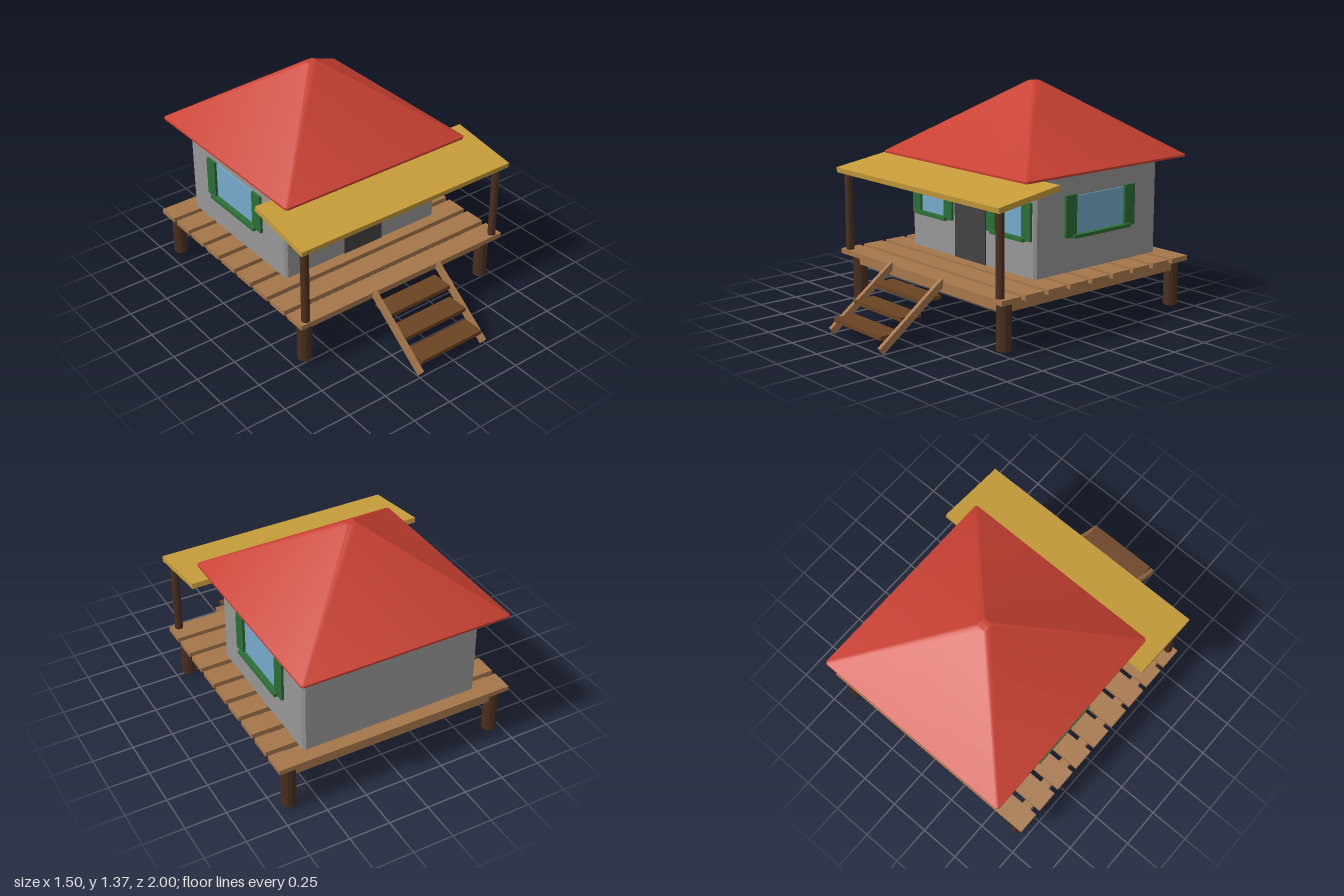
import * as THREE from 'three';
import { toCreasedNormals } from 'three/addons/utils/BufferGeometryUtils.js';

const mat = (name, color, extra = {}) => {
  const m = new THREE.MeshStandardMaterial({ color, ...extra });
  m.name = name;
  return m;
};

// Closed body from chamfered rectangles: each ring is [halfX, halfZ, chamfer, y]
function loft(rings) {
  const pos = [], idx = [], n = 8;
  for (const [a, b, c, y] of rings) {
    const corners = [[a, c - b], [a, b - c], [a - c, b], [c - a, b], [-a, b - c], [-a, c - b], [c - a, -b], [a - c, -b]];
    for (const [x, w] of corners) pos.push(x, y, -w);
  }
  const top = (rings.length - 1) * n;
  for (let r = 0; r < top; r += n) {
    for (let i = 0; i < n; i++) {
      const j = (i + 1) % n;
      idx.push(r + i, r + j, r + n + j, r + i, r + n + j, r + n + i);
    }
  }
  for (let i = 1; i < n - 1; i++) {
    idx.push(top, top + i, top + i + 1);
    idx.push(0, i + 1, i);
  }
  const g = new THREE.BufferGeometry();
  g.setAttribute('position', new THREE.Float32BufferAttribute(pos, 3));
  g.setIndex(idx);
  return toCreasedNormals(g, 0.6);
}

export function createModel() {
  const plankWood = mat('plank wood', 0xa6774b);
  const stepWood = mat('step wood', 0x6b4423);
  const postWood = mat('post wood', 0x4a2e1f, { flatShading: true });
  const wall = mat('wall grey', 0x979797);
  const red = mat('roof red', 0xc84032);
  const yellow = mat('porch yellow', 0xc79d3a);
  const green = mat('shutter green', 0x2d6e36);
  const glass = mat('window blue', 0x76aacc);
  const doorGrey = mat('door grey', 0x424242);

  const model = new THREE.Group();
  model.name = 'stiltHut';

  const add = (parent, name, geometry, material, x, y, z) => {
    const m = new THREE.Mesh(geometry, material);
    m.name = name;
    m.position.set(x, y, z);
    parent.add(m);
    return m;
  };
  const box = (parent, name, material, [w, h, d], [x, y, z]) =>
    add(parent, name, new THREE.BoxGeometry(w, h, d), material, x, y, z);
  const post = (name, r, y0, y1, x, z) =>
    add(model, name, new THREE.CylinderGeometry(r, r, y1 - y0, 12), postWood, x, (y0 + y1) / 2, z);

  // Deck planks
  for (let i = 0; i < 9; i++) {
    box(model, 'deckPlank', plankWood, [1.5, 0.03, 0.136], [0, 0.325, 0.498 - i * 0.1685]);
  }
  // Deck frame, front and back
  for (const z of [0.48, -0.86]) {
    box(model, 'frameBeam', plankWood, [1.4, 0.06, 0.06], [0, 0.28, z]);
  }
  for (const s of [-1, 1]) {
    box(model, 'frameSideBeam', plankWood, [0.06, 0.06, 1.28], [s * 0.67, 0.28, -0.19]);
    // Stilts and porch posts
    for (const z of [0.482, -0.863]) post('stilt', 0.044, 0.03, 0.31, s * 0.671, z);
    post('porchPost', 0.025, 0.34, 0.84, s * 0.699, 0.536);
    // Stair rails
    const rail = box(model, 'stairRail', plankWood, [0.025, 0.043, 0.537], [s * 0.236, 0.181, 0.775]);
    rail.rotation.x = 0.63;
  }
  // Stair treads
  for (let i = 0; i < 3; i++) {
    box(model, 'stairTread', stepWood, [0.45, 0.024, 0.138], [0, 0.246 - i * 0.078, 0.632 + i * 0.141]);
  }

  // House walls and hipped roof
  add(model, 'walls', loft([[0.56, 0.495, 0.015, 0.34], [0.56, 0.495, 0.015, 0.922]]), wall, 0, 0, -0.34);
  const roof = [[0.65, 0.65, 0.012, 0.922], [0.65, 0.65, 0.012, 0.935], [0.03, 0.03, 0.01, 1.375]];
  add(model, 'mainRoof', loft(roof), red, 0, 0, -0.345);

  // Sloping porch roof
  const porch = box(model, 'porchRoof', yellow, [1.5, 0.032, 0.445], [0, 0.866, 0.367]);
  porch.rotation.x = 0.1445;

  // Door
  box(model, 'door', doorGrey, [0.28, 0.412, 0.009], [0, 0.547, 0.158]);

  // Window facing +z: pane, two shutters and a sill, origin on the wall
  function makeWindow(half, shutterW, bottom, top, sillHalf) {
    const g = new THREE.Group();
    g.name = 'window';
    const h = top - bottom, mid = (top + bottom) / 2;
    box(g, 'pane', glass, [half * 2 + 0.02, h - 0.025, 0.009], [0, mid, 0.003]);
    for (const s of [-1, 1]) {
      box(g, 'shutter', green, [shutterW, h, 0.016], [s * (half + shutterW / 2), mid, 0.015]);
    }
    box(g, 'sill', green, [sillHalf * 2, 0.02, 0.036], [0, bottom + 0.003, 0.023]);
    return g;
  }
  for (const s of [-1, 1]) {
    const front = makeWindow(0.113, 0.075, 0.557, 0.78, 0.141);
    front.name = 'frontWindow';
    front.position.set(s * 0.348, 0, 0.149);
    const side = makeWindow(0.196, 0.085, 0.549, 0.796, 0.228);
    side.name = 'sideWindow';
    side.position.set(s * 0.56, 0, -0.344);
    side.rotation.y = s * Math.PI / 2;
    model.add(front, side);
  }
  return model;
}
